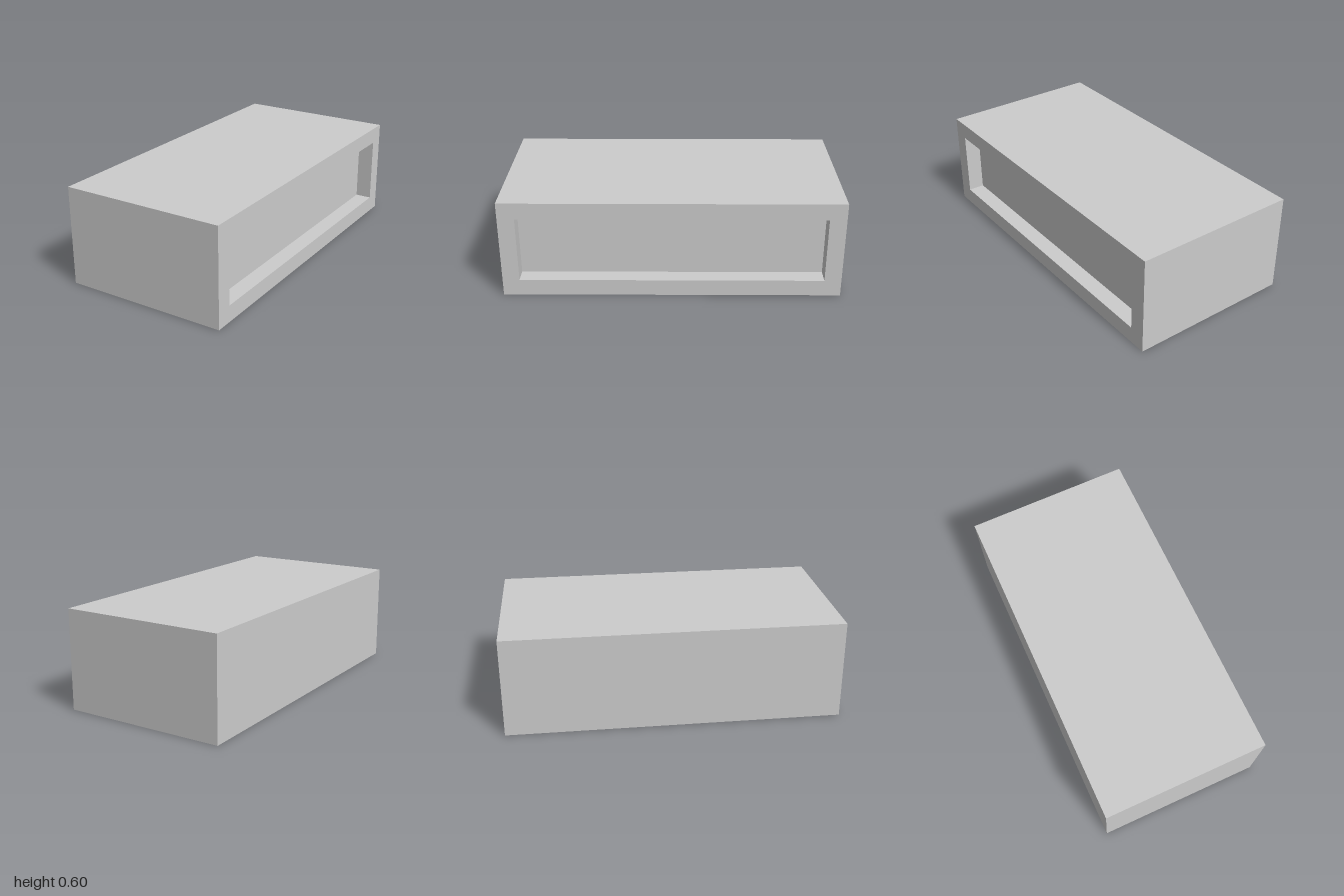
import * as THREE from 'three';

const W = 1, H = 0.6, L = 2;            // outer size
const RIM = 0.1, DEPTH = 0.1;           // recess border and depth
const PAD = 0.1;                        // square pad size

const grey = new THREE.MeshStandardMaterial({ color: 0xcccccc });
const red = new THREE.MeshStandardMaterial({ color: 0xff0000 });

// Box with its +x face left open; inward = true turns the faces to the inside.
function openBox(w, h, l, inward) {
  const geo = new THREE.BoxGeometry(w, h, l);
  const index = Array.from(geo.index.array).slice(6);
  geo.setIndex(inward ? index.reverse() : index);
  geo.clearGroups();
  geo.computeVertexNormals();
  return geo;
}

function rectangle(Type, w, h) {
  return new Type([[-w, -h], [w, -h], [w, h], [-w, h]]
    .map(([x, y]) => new THREE.Vector2(x / 2, y / 2)));
}

export function createModel() {
  const model = new THREE.Group();
  model.name = 'recessedBox';
  const add = (name, geo, material, x, y, z) => {
    const mesh = new THREE.Mesh(geo, material);
    mesh.name = name;
    mesh.position.set(x, y, z);
    model.add(mesh);
  };

  // Outer walls
  add('bodyShell', openBox(W, H, L, false), grey, 0, H / 2, 0);

  // Frame around the recess on the +x side
  const frame = rectangle(THREE.Shape, L, H);
  frame.holes.push(rectangle(THREE.Path, L - 2 * RIM, H - 2 * RIM));
  add('recessFrame', new THREE.ShapeGeometry(frame).rotateY(Math.PI / 2), grey, W / 2, H / 2, 0);

  // Inside walls and back of the recess
  add('recess', openBox(DEPTH, H - 2 * RIM, L - 2 * RIM, true), grey, W / 2 - DEPTH / 2, H / 2, 0);

  // Row of red square pads on the underside
  [0.15, -0.05, -0.25].forEach((x, i) => {
    add(`bottomPad${i + 1}`, new THREE.PlaneGeometry(PAD, PAD).rotateX(Math.PI / 2), red, x, -0.001, 0.15);
  });

  return model;
}
